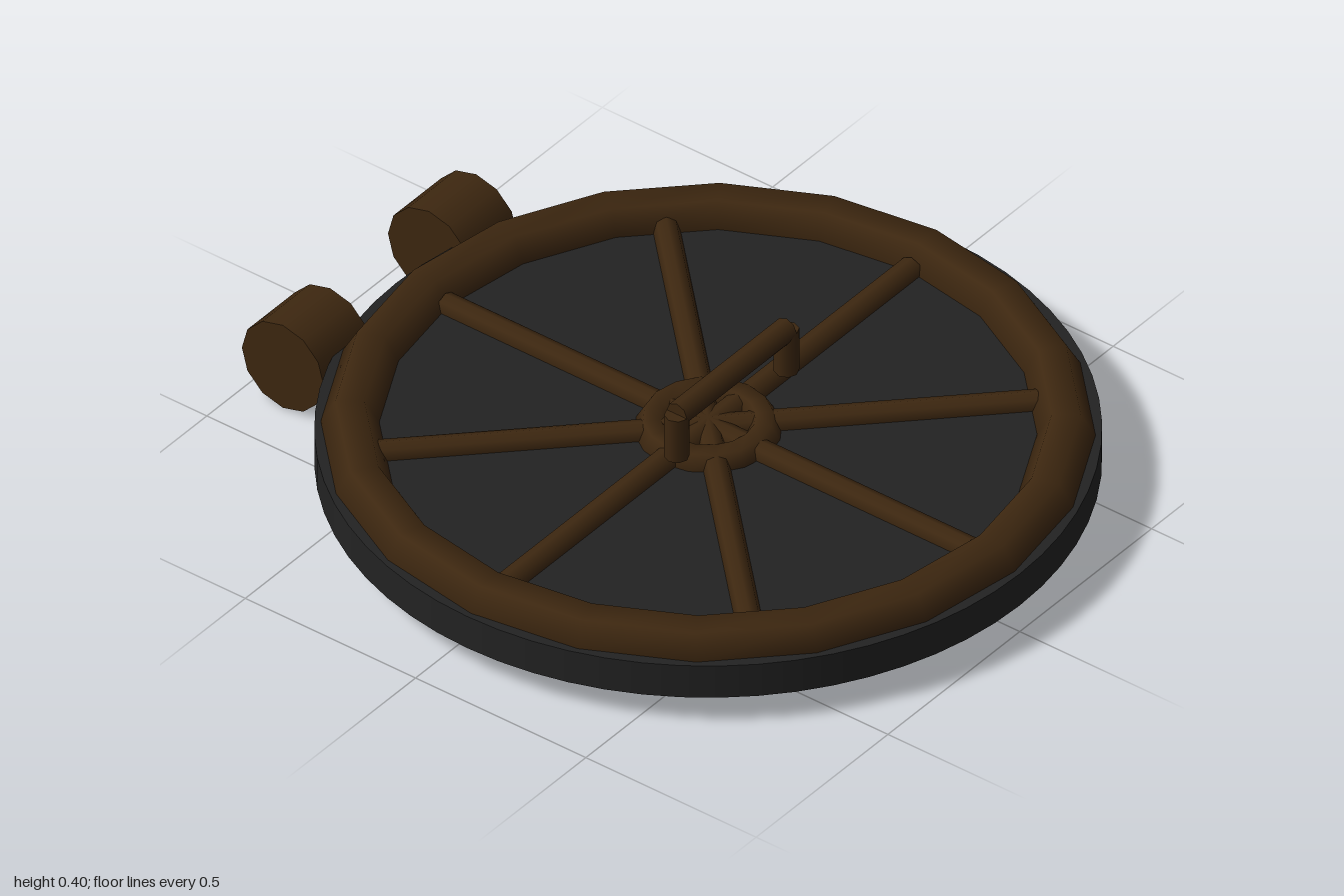
import * as THREE from 'three';

const DISC_Z = 0.085;   // the lid sits forward of centre, the hinges fill the back
const TOP = 0.168;      // height of the disc's upper face

export function createModel() {
  const group = new THREE.Group();
  const iron = new THREE.MeshStandardMaterial({ color: 0x232323 });
  iron.name = 'darkIron';
  const wood = new THREE.MeshStandardMaterial({ color: 0x3d2710 });
  wood.name = 'darkBrown';

  const add = (name, geometry, material, x, y, z) => {
    const mesh = new THREE.Mesh(geometry, material);
    mesh.name = name;
    mesh.position.set(x, y, z);
    group.add(mesh);
    return mesh;
  };

  // round plate
  add('disc', new THREE.CylinderGeometry(0.915, 0.915, 0.092, 64), iron, 0, TOP - 0.046, DISC_Z);

  // outer rim and hub ring, both lying flat on the plate
  const ring = (name, radius, tube, segments) => {
    const g = new THREE.TorusGeometry(radius, tube, 6, segments).rotateX(-Math.PI / 2);
    add(name, g, wood, 0, TOP, DISC_Z);
  };
  ring('rim', 0.832, 0.068, 20);
  ring('hubRing', 0.132, 0.041, 16);

  // four full-width bars make eight spokes
  for (let i = 0; i < 4; i++) {
    const g = new THREE.CylinderGeometry(0.032, 0.032, 1.545, 8).rotateZ(Math.PI / 2);
    add('spoke', g, wood, 0, TOP + 0.002, DISC_Z).rotation.y = i * Math.PI / 4;
  }

  // lifting handle
  const handleZ = DISC_Z + 0.069;
  const bar = new THREE.CylinderGeometry(0.03, 0.03, 0.416, 8).rotateZ(Math.PI / 2);
  add('handleBar', bar, wood, 0, 0.365, handleZ);

  for (const side of [-1, 1]) {
    const post = new THREE.CylinderGeometry(0.03, 0.03, 0.12, 8);
    add('handlePost', post, wood, side * 0.208, 0.305, handleZ);

    // hinge barrels at the back edge
    const barrel = new THREE.CylinderGeometry(0.12, 0.12, 0.18, 12).rotateZ(Math.PI / 2);
    add('hinge', barrel, wood, side * 0.277, 0.12, -0.88);
  }

  return group;
}
